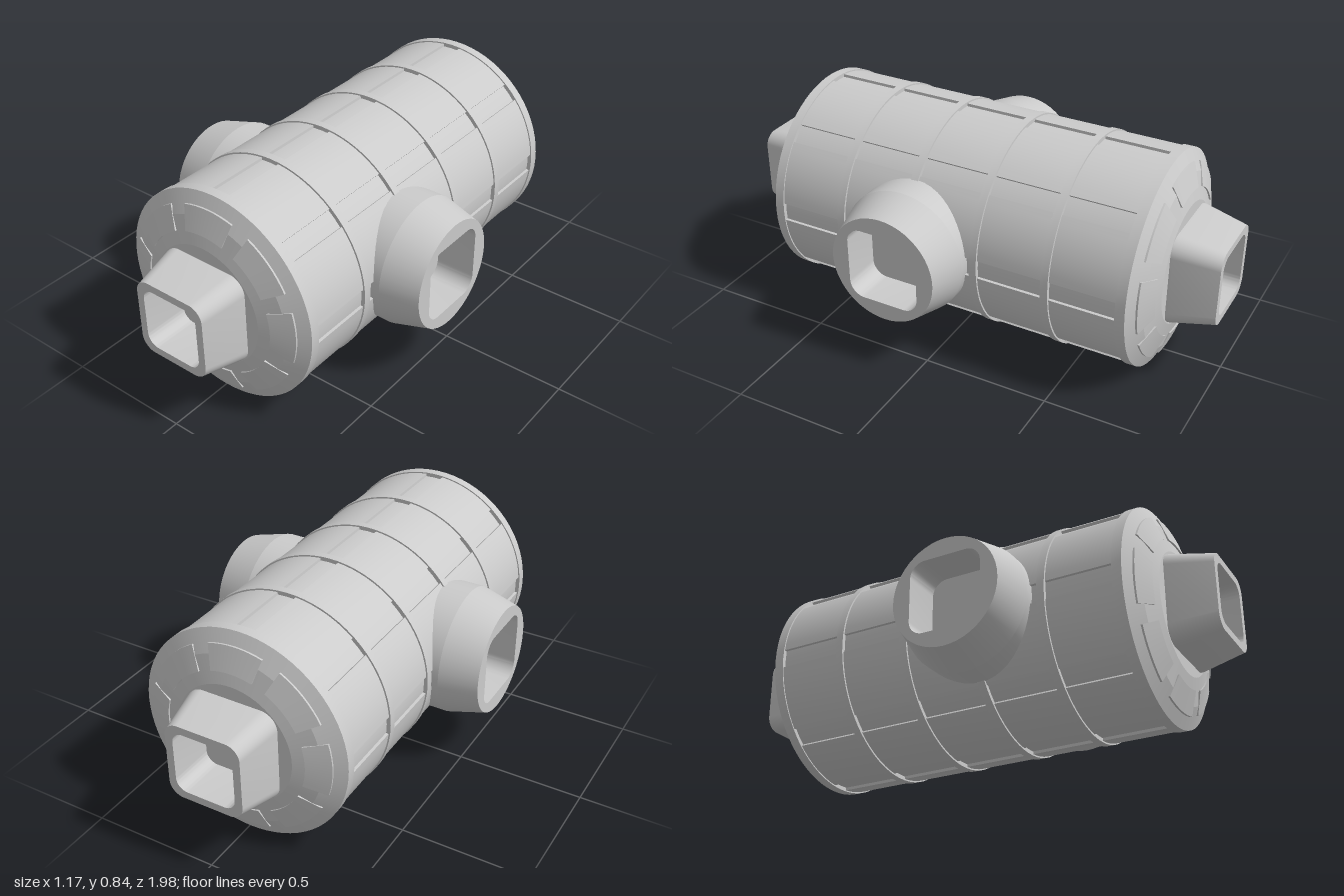
import * as THREE from 'three';
import { toCreasedNormals } from 'three/addons/utils/BufferGeometryUtils.js';

const MAT = new THREE.MeshStandardMaterial({ color: 0xcccccc, roughness: 0.7 });
const R = 0.421; // ring radius, also the height of the main axis
const CAP = [[0.421, 0], [0.34, 0.039], [0.237, 0.065], [0, 0.065]]; // radius, height

function add(parent, name, geometry, crease = 0.5) {
  const mesh = new THREE.Mesh(toCreasedNormals(geometry, crease), MAT);
  mesh.name = name;
  parent.add(mesh);
  return mesh;
}

// Surface of revolution around z from [radius, z] points
function lathe(points, segments = 72) {
  return new THREE.LatheGeometry(points.map(p => new THREE.Vector2(...p)), segments).rotateX(Math.PI / 2);
}

// Curved block: box x becomes the angle around z; rz(y, z) gives [radius, z]
function curvedBlock(centre, half, rz) {
  const g = new THREE.BoxGeometry(2, 2, 2, 8, 1, 1);
  const p = g.attributes.position;
  for (let i = 0; i < p.count; i++) {
    const a = centre + half * p.getX(i);
    const [r, z] = rz(p.getY(i), p.getZ(i));
    p.setXYZ(i, r * Math.sin(a), r * Math.cos(a), z);
  }
  return g;
}

// Loft through rounded squares [half size, corner radius, z]; corner = half gives a circle
function loft(rings) {
  const k = 12, n = 4 * (k + 1), pos = [], idx = [];
  for (const [h, c, z] of rings) {
    for (let q = 0; q < 4; q++) {
      const m = Math.PI / 4 + q * Math.PI / 2;
      for (let i = 0; i <= k; i++) {
        const a = (q + i / k) * Math.PI / 2;
        pos.push(Math.sign(Math.cos(m)) * (h - c) + c * Math.cos(a),
          Math.sign(Math.sin(m)) * (h - c) + c * Math.sin(a), z);
      }
    }
  }
  for (let r = 0; r < rings.length - 1; r++) {
    for (let i = 0; i < n; i++) {
      const a = r * n + i, b = r * n + (i + 1) % n;
      idx.push(a, b, b + n, a, b + n, a + n);
    }
  }
  const g = new THREE.BufferGeometry();
  g.setAttribute('position', new THREE.Float32BufferAttribute(pos, 3));
  g.setIndex(idx);
  return g;
}

// Domed end cap with eight raised plates and a hollow square port
function endCap(name) {
  const cap = new THREE.Group();
  cap.name = name;
  add(cap, 'capDome', lathe([...CAP].map(([r, z]) => [r, z])), 0.1);
  const heightAt = r => r > 0.34 ? (0.421 - r) * 0.48 : 0.039 + (0.34 - r) * 0.252;
  for (let i = 0; i < 8; i++) {
    add(cap, 'capPlate', curvedBlock(i * Math.PI / 4, 0.295, (y, z) => {
      const r = 0.33 + 0.045 * y;
      return [r, heightAt(r) + (z > 0 ? 0.007 : -0.01)];
    }));
  }
  add(cap, 'endPort', loft([
    [0.184, 0.065, 0.05], [0.183, 0.065, 0.075], [0.152, 0.055, 0.243],
    [0.122, 0.045, 0.243], [0.122, 0.045, 0.066]
  ]));
  return cap;
}

export function createModel() {
  const root = new THREE.Group();
  root.name = 'module';
  const hull = new THREE.Group();
  hull.name = 'hull';
  hull.position.y = R;
  root.add(hull);

  // Core tube, visible in the grooves between panels
  add(hull, 'coreTube', lathe([[0.405, -0.75], [0.405, 0.725]]));

  // Hoops
  const hoops = [-0.738, -0.446, -0.156, 0.134, 0.422, 0.714];
  hoops.forEach((z, i) => {
    const w = i === 0 || i === 5 ? 0.019 : 0.015;
    add(hull, 'hoop', lathe([[0.39, z - w], [R, z - w], [R, z + w], [0.39, z + w]]));
  });

  // Hull panels: eight around each bay
  for (let b = 0; b < 5; b++) {
    const z0 = hoops[b] + 0.017, z1 = hoops[b + 1] - 0.017;
    for (let i = 0; i < 8; i++) {
      add(hull, 'hullPanel', curvedBlock((i + 0.5) * Math.PI / 4, Math.PI / 8 - 0.09,
        (y, z) => [y > 0 ? 0.416 : 0.395, z > 0 ? z1 : z0]));
    }
  }

  // End caps with ports
  const front = endCap('frontCap');
  front.position.z = 0.733;
  const back = endCap('backCap');
  back.position.z = -0.757;
  back.rotation.y = Math.PI;
  hull.add(front, back);

  // Round side ports with square openings
  for (const s of [1, -1]) {
    const port = add(hull, s > 0 ? 'leftPort' : 'rightPort', loft([
      [0.254, 0.254, 0.28], [0.254, 0.254, 0.44], [0.215, 0.215, 0.586],
      [0.145, 0.06, 0.586], [0.145, 0.06, 0.43], [0, 0, 0.43]
    ]), 0.2);
    port.position.z = 0.128;
    port.rotation.y = s * Math.PI / 2;
  }
  return root;
}
